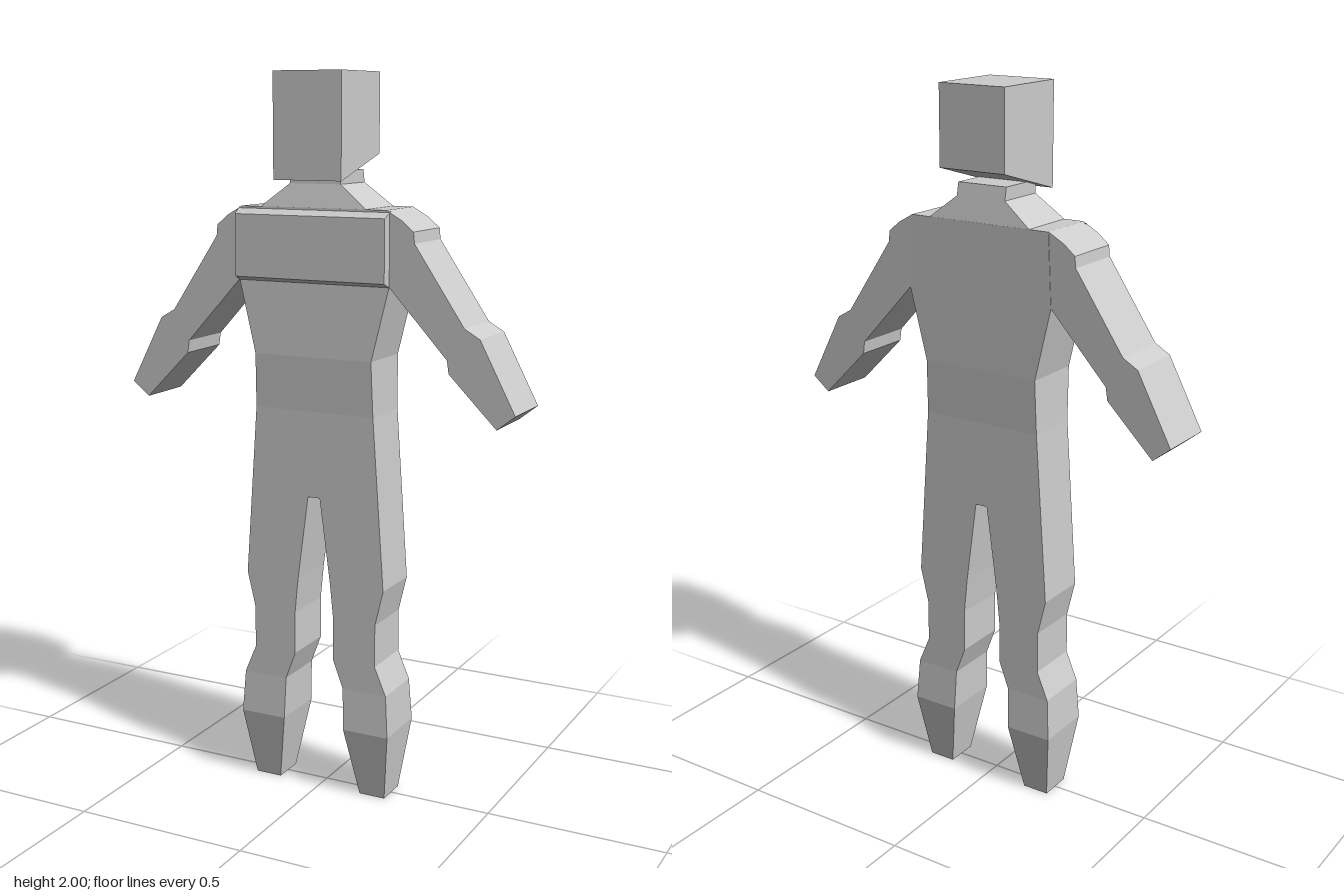
import * as THREE from 'three';

const grey = new THREE.MeshStandardMaterial({ color: 0xcccccc, flatShading: true });
grey.name = 'plain grey';

// Joins a row of four-cornered sections into a closed, flat-shaded solid.
function loft(name, sections) {
  const pos = [];
  const quad = (a, b, c, d) => pos.push(...a, ...b, ...c, ...a, ...c, ...d);
  for (let i = 0; i < sections.length - 1; i++) {
    const s = sections[i], t = sections[i + 1];
    for (let k = 0; k < 4; k++) {
      const n = (k + 1) % 4;
      quad(s[k], s[n], t[n], t[k]);
    }
  }
  const first = sections[0], last = sections[sections.length - 1];
  quad(first[3], first[2], first[1], first[0]);
  quad(last[0], last[1], last[2], last[3]);

  // Turn the faces outward if the enclosed volume comes out negative.
  let volume = 0;
  for (let i = 0; i < pos.length; i += 9) {
    const [a, b, c] = [0, 3, 6].map((o) => new THREE.Vector3().fromArray(pos, i + o));
    volume += a.dot(b.cross(c));
  }
  if (volume < 0) {
    for (let i = 0; i < pos.length; i += 9) {
      for (let j = 3; j < 6; j++) [pos[i + j], pos[i + j + 3]] = [pos[i + j + 3], pos[i + j]];
    }
  }
  const geometry = new THREE.BufferGeometry();
  geometry.setAttribute('position', new THREE.Float32BufferAttribute(pos, 3));
  geometry.computeVertexNormals();
  const mesh = new THREE.Mesh(geometry, grey);
  mesh.name = name;
  return mesh;
}

// Level section between two x values and two z values.
const level = (y, x0, x1, front, back) => [
  [x0, y, front], [x1, y, front], [x1, y, back], [x0, y, back],
];

// Section across an arm, from its upper edge to its lower edge.
const across = (x0, y0, x1, y1, z) => [
  [x0, y0, z], [x1, y1, z], [x1, y1, -z], [x0, y0, -z],
];

export function createModel() {
  const model = new THREE.Group();
  model.name = 'blockFigure';

  // Head, with its underside rising towards the back
  const head = level(1.72, -0.1, 0.1, 0.115, -0.115);
  head[2][1] = head[3][1] = 1.785;
  model.add(loft('head', [head, level(2, -0.1, 0.1, 0.115, -0.115)]));

  // Sloping shoulders and neck
  model.add(loft('neck', [
    level(1.645, -0.16, 0.16, 0.085, -0.087),
    level(1.71, -0.075, 0.075, 0.07, -0.075),
    level(1.745, -0.075, 0.075, 0.068, -0.068),
  ]));

  // Torso down to the crotch
  model.add(loft('torso', [
    [1.648, 0.214, 0.085, -0.087],
    [1.45, 0.224, 0.084, -0.086],
    [1.25, 0.175, 0.088, -0.083],
    [1.1, 0.178, 0.08, -0.077],
    [0.86, 0.195, 0.08, -0.077],
  ].map(([y, x, front, back]) => level(y, -x, x, front, back))));

  // Raised chest plate with bevelled edges
  const plate = (x, top, bottom, z) => [
    [-x, bottom, z], [x, bottom, z], [x, top, z], [-x, top, z],
  ];
  model.add(loft('chestPlate', [
    plate(0.225, 1.645, 1.447, 0.08),
    plate(0.222, 1.628, 1.46, 0.11),
  ]));

  for (const side of [1, -1]) {
    const label = side > 0 ? 'left' : 'right';

    // Arm from shoulder to blunt hand
    model.add(loft(label + 'Arm', [
      [0.214, 1.648, 0.224, 1.45],
      [0.26, 1.622, 0.25, 1.422],
      [0.292, 1.595, 0.29, 1.378],
      [0.295, 1.565, 0.3, 1.368],
      [0.437, 1.355, 0.39, 1.27],
      [0.48, 1.33, 0.395, 1.235],
      [0.58, 1.14, 0.53, 1.1],
    ].map(([x0, y0, x1, y1]) => across(side * x0, y0, side * x1, y1, 0.085))));

    // Leg: thigh, knee, calf and tapered foot
    model.add(loft(label + 'Leg', [
      [0.86, 0.018, 0.195, 0.08, -0.077],
      [0.62, 0.05, 0.212, 0.08, -0.077],
      [0.52, 0.06, 0.188, 0.08, -0.077],
      [0.4, 0.06, 0.188, 0.08, -0.077],
      [0.32, 0.09, 0.222, 0.08, -0.077],
      [0.2, 0.094, 0.23, 0.085, -0.083],
      [0, 0.128, 0.205, 0.047, -0.047],
    ].map(([y, inner, outer, front, back]) => level(y, side * inner, side * outer, front, back))));
  }
  return model;
}
